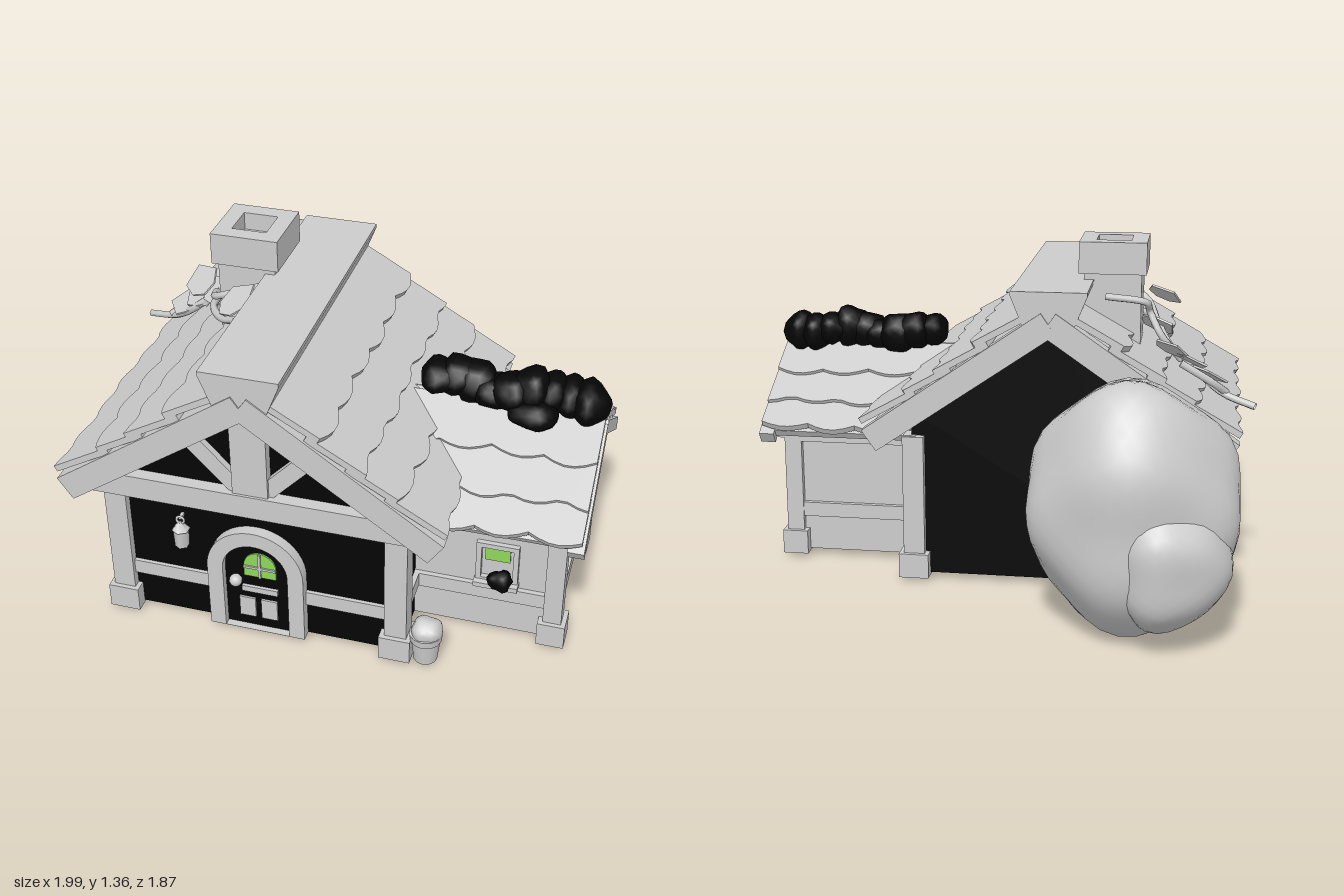
import * as THREE from 'three';
import { mergeVertices, toCreasedNormals } from 'three/addons/utils/BufferGeometryUtils.js';

// open shells (walls without a floor) need both sides
const mat = (name, color) => Object.assign(new THREE.MeshStandardMaterial({ color, side: THREE.DoubleSide }), { name });

export function createModel() {
  const grey = mat('pale stone', 0xcccccc);
  const black = mat('dark plaster', 0x050505);
  const green = mat('green glass', 0x8fd65a);
  const model = new THREE.Group();

  const add = (parent, name, geo, m, x = 0, y = 0, z = 0) => {
    const mesh = new THREE.Mesh(geo, m);
    mesh.name = name;
    mesh.position.set(x, y, z);
    parent.add(mesh);
    return mesh;
  };
  const box = (parent, name, m, w, h, d, x, y, z) => add(parent, name, new THREE.BoxGeometry(w, h, d), m, x, y, z);
  const poly = (pts) => new THREE.Shape(pts.map(([x, y]) => new THREE.Vector2(x, y)));
  const extrude = (shape, depth, curveSegments = 10) =>
    new THREE.ExtrudeGeometry(shape, { depth, bevelEnabled: false, curveSegments });
  const group = (parent, name, x, y, z, ry = 0) => {
    const g = new THREE.Group();
    g.name = name;
    g.position.set(x, y, z);
    g.rotation.y = ry;
    parent.add(g);
    return g;
  };

  // lumpy foliage: a rounded-off box swollen by smooth waves
  function blob(parent, name, m, c, r, bump = 0.06, power = 2, detail = 5) {
    const geo = new THREE.IcosahedronGeometry(1, detail);
    geo.deleteAttribute('normal');
    geo.deleteAttribute('uv');
    const p = geo.attributes.position, v = new THREE.Vector3();
    for (let i = 0; i < p.count; i++) {
      v.fromBufferAttribute(p, i).normalize();
      const k = (Math.abs(v.x) ** power + Math.abs(v.y) ** power + Math.abs(v.z) ** power) ** (-1 / power);
      const s = 1 + bump * (Math.sin(5 * v.x + 9 * c[0]) + Math.sin(6 * v.y + 2) * Math.cos(5 * v.z + 7 * c[2])) - bump * 0.5;
      v.multiplyScalar(k * s);
      p.setXYZ(i, v.x * r[0], v.y * r[1], v.z * r[2]);
    }
    const smooth = mergeVertices(geo, 1e-4);
    smooth.computeVertexNormals();
    return add(parent, name, smooth, m, ...c);
  }

  // bar between two points of a gable face
  function bar(parent, name, a, b, w, depth, z) {
    const dx = b[0] - a[0], dy = b[1] - a[1];
    const m = box(parent, name, grey, Math.hypot(dx, dy), w, depth, (a[0] + b[0]) / 2, (a[1] + b[1]) / 2, z);
    m.rotation.z = Math.atan2(dy, dx);
  }

  // drop the triangles lying in the floor plane
  function openBottom(geo, floorY) {
    const p = geo.attributes.position, keep = [];
    for (let i = 0; i < p.count; i += 3)
      if (Math.max(p.getY(i), p.getY(i + 1), p.getY(i + 2)) > floorY + 1e-4) keep.push(i, i + 1, i + 2);
    geo.clearGroups();
    geo.setIndex(keep);
    return geo;
  }

  // one roof slope: ridge along x, falling towards +z, with scalloped shingle courses
  function roofSide(parent, o, ry) {
    const g = group(parent, 'roofSlope', 0, o.ridge, 0, ry);
    const a = Math.atan(o.slope), len = o.roofHalf * 2;
    const deckLen = (o.rows.at(-1) - 0.01) / Math.cos(a);
    const deck = add(g, 'roofDeck', new THREE.BoxGeometry(len - 0.02, 0.03, deckLen), grey);
    deck.geometry.translate(0, -0.02, deckLen / 2);
    deck.rotation.x = a;
    o.rows.forEach((d, i) => {
      const top = i ? o.rows[i - 1] - 0.05 : 0;
      const L = (d - top) / Math.cos(a);
      const n = Math.round(len / 0.2), pts = [[-o.roofHalf, 0]];
      for (let j = 0; j <= n * 5; j++) {
        const u = j / 5 + (i % 2) * 0.5;
        const s = L - 0.02 + 0.028 * Math.abs(Math.sin(Math.PI * u)) + 0.006 * Math.sin(2.3 * u + i * 2);
        pts.push([-o.roofHalf + (len * j) / (n * 5), -s]);
      }
      pts.push([o.roofHalf, 0]);
      const m = add(g, 'shingleCourse', extrude(poly(pts), 0.025), grey, 0, -o.slope * top - 0.005, top);
      m.rotation.x = a - 0.09 - Math.PI / 2;
    });
  }

  // timber-framed gabled block: ridge along z, decorated gable at +z
  function house(name, o, x, z, ry) {
    const g = group(model, name, x, 0, z, ry);
    const W = o.halfW, H = o.halfL, under = o.ridge - 0.065;
    const wall = extrude(poly([[-W, 0.03], [W, 0.03], [W, under - o.slope * W], [0, under], [-W, under - o.slope * W]]), H * 2);
    add(g, 'walls', openBottom(wall, 0.03), o.wall, 0, 0, -H);
    for (const s of [1, -1]) {
      roofSide(g, o, (s * Math.PI) / 2);
      const e = o.rows.at(-1) - 0.005, drop = o.board * 0.62;
      for (const zz of [o.roofHalf - 0.02, -o.roofHalf + 0.02])
        bar(g, 'bargeBoard', [0, o.ridge - drop], [s * e, o.ridge - drop - o.slope * e], o.board, 0.06, zz);
      for (const end of o.postEnds) {
        const px = s * (W - 0.01), pz = end * (H - 0.01);
        box(g, 'cornerPost', grey, o.post, o.tie[0], o.post, px, o.tie[0] / 2 + 0.03, pz);
        box(g, 'postFoot', grey, o.post + 0.035, 0.1, o.post + 0.035, px, 0.07, pz);
      }
      box(g, 'sideRail', grey, 0.03, 0.06, H * 2, s * (W + 0.005), 0.21, 0);
      box(g, 'eavePlate', grey, 0.05, 0.045, H * 2 + 0.04, s * (W + 0.005), o.tie[0] + 0.01, 0);
      bar(g, 'gableBrace', [s * o.brace[0], o.brace[1]], [s * o.brace[2], o.brace[3]], o.brace[4], 0.03, H + 0.012);
    }
    const mid = (o.tie[0] + o.tie[1]) / 2;
    box(g, 'tieBeam', grey, W * 2 + o.tieOver, o.tie[1] - o.tie[0], 0.08, 0, mid, H + 0.01);
    box(g, 'kingPost', grey, o.king, under - 0.04 - o.tie[1], 0.05, 0, (under - 0.04 + o.tie[1]) / 2, H + 0.015);
    return g;
  }

  const main = house('mainHouse', {
    halfW: 0.55, halfL: 0.51, wall: black, ridge: 1.15, slope: 0.69, rows: [0.275, 0.42, 0.56, 0.705], roofHalf: 0.603,
    board: 0.1, post: 0.085, tie: [0.575, 0.67], tieOver: 0.18, king: 0.135, brace: [0.05, 0.68, 0.25, 0.89, 0.065],
    postEnds: [1, -1],
  }, -0.205, 0.32, 0);
  house('sideWing', {
    halfW: 0.3, halfL: 0.3, wall: grey, ridge: 0.85, slope: 0.63, rows: [0.175, 0.315, 0.435], roofHalf: 0.385,
    board: 0.05, post: 0.07, tie: [0.52, 0.565], tieOver: 0.05, king: 0.08, brace: [0.03, 0.57, 0.16, 0.7, 0.035],
    postEnds: [1],
  }, 0.59, 0.305, Math.PI / 2);
  box(model, 'wingGableRail', grey, 0.03, 0.06, 0.6, 0.893, 0.21, 0.305);

  // flared ridge cap
  const cap = poly([[-0.1, 1.08], [0.1, 1.08], [0.146, 1.195], [0.146, 1.21], [-0.146, 1.21], [-0.146, 1.195]]);
  add(main, 'ridgeCap', extrude(cap, 1.215), grey, 0, 0, -0.6075);
  for (const z of [0.583, -0.583]) box(main, 'ridgeCollar', grey, 0.16, 0.06, 0.06, 0, 1.06, z);
  for (const s of [1, -1]) box(main, 'frontRail', grey, 0.36, 0.06, 0.03, s * 0.35, 0.21, 0.51);

  // arched doorway, set through the front wall
  const door = group(main, 'door', 0.003, 0, 0.51);
  const arch = (r, y0, spring) => {
    const s = new THREE.Shape();
    s.moveTo(-r, y0);
    s.lineTo(r, y0);
    s.lineTo(r, spring);
    s.absarc(0, spring, r, 0, Math.PI, false);
    s.closePath();
    return s;
  };
  const surround = arch(0.188, 0.03, 0.31);
  surround.holes.push(arch(0.127, 0.031, 0.31));
  add(door, 'doorSurround', toCreasedNormals(extrude(surround, 0.07, 20), 0.6), grey, 0, 0, -0.025);
  add(door, 'doorLeaf', extrude(arch(0.127, 0.03, 0.31), 0.015), black);
  for (const z of [0.015, -0.008])
    add(door, 'doorGlass', extrude(arch(0.063, 0.275, 0.325), 0.006), green, 0.012, 0, z);
  box(door, 'doorMuntin', grey, 0.01, 0.11, 0.008, 0.012, 0.33, 0.023);
  box(door, 'doorMuntin', grey, 0.126, 0.01, 0.008, 0.012, 0.32, 0.023);
  box(door, 'doorLedge', grey, 0.14, 0.025, 0.02, 0.01, 0.215, 0.018);
  for (const s of [1, -1]) box(door, 'doorPanel', grey, 0.063, 0.09, 0.01, s * 0.043, 0.122, 0.018);
  add(door, 'doorKnob', new THREE.SphereGeometry(0.025, 12, 8), grey, -0.083, 0.25, 0.03);

  // wall lantern
  const lantern = group(main, 'lantern', -0.285, 0, 0.54);
  add(lantern, 'lanternBody', new THREE.CylinderGeometry(0.03, 0.027, 0.08, 6), grey, 0, 0.415, 0);
  add(lantern, 'lanternHood', new THREE.ConeGeometry(0.035, 0.04, 6), grey, 0, 0.47, 0);
  add(lantern, 'lanternHook', new THREE.TorusGeometry(0.015, 0.005, 6, 12), grey, 0, 0.492, 0);
  box(lantern, 'lanternArm', grey, 0.012, 0.012, 0.03, 0, 0.5, -0.015);

  // windows, facing their group's +z
  function windowFrame(name, x, y, z, ry, w, h) {
    const g = group(model, name, x, y, z, ry);
    const frame = poly([[-w, -h], [w, -h], [w, h], [-w, h]]);
    frame.holes.push(poly([[-w * 0.75, -h * 0.78], [-w * 0.75, h * 0.78], [w * 0.75, h * 0.78], [w * 0.75, -h * 0.78]]));
    add(g, 'windowFrame', extrude(frame, 0.025), grey);
    box(g, 'windowSill', grey, w * 2.1, 0.02, 0.05, 0, -h, 0.025);
    return g;
  }
  const wingWin = windowFrame('wingWindow', 0.66, 0.35, 0.6, 0, 0.08, 0.09);
  box(wingWin, 'wingGlass', green, 0.095, 0.055, 0.008, 0, 0.037, 0.012);
  blob(wingWin, 'wingPlant', black, [0.022, -0.052, 0.05], [0.05, 0.042, 0.04], 0.12, 2, 2);
  const sideWin = windowFrame('sideWindow', -0.75, 0.41, 0.34, -Math.PI / 2, 0.15, 0.12);
  box(sideWin, 'sideGlass', black, 0.24, 0.2, 0.008, 0, 0, 0.01);
  for (const x of [-0.04, 0.04]) box(sideWin, 'sideMuntin', grey, 0.016, 0.2, 0.012, x, 0, 0.016);
  box(sideWin, 'sideMuntin', grey, 0.24, 0.016, 0.012, 0, 0.01, 0.016);
  box(sideWin, 'planterBox', grey, 0.44, 0.08, 0.08, 0.04, -0.135, 0.045);
  for (const i of [-1, 0, 1])
    blob(sideWin, 'planterFoliage', black, [0.04 + i * 0.1, -0.07 + 0.012 * i, 0.06], [0.08, 0.04, 0.055], 0.1, 2, 2);

  // chimney with hollow crown
  box(model, 'chimneyShaft', grey, 0.225, 0.46, 0.225, -0.425, 1.06, 0.11);
  const sq = (r) => poly([[-r, -r], [r, -r], [r, r], [-r, r]]);
  const crown = sq(0.132);
  crown.holes.push(sq(0.068));
  add(model, 'chimneyCrown', extrude(crown, 0.125).rotateX(-Math.PI / 2), grey, -0.425, 1.235, 0.11);

  // climbing vine
  const vines = [
    [[-0.99, 0.75, -0.11], [-0.86, 0.79, -0.06], [-0.74, 0.88, 0], [-0.66, 0.95, 0], [-0.6, 1.03, 0.1], [-0.54, 1.1, 0.25], [-0.36, 1.17, 0.25]],
    [[-0.7, 0.9, 0], [-0.62, 1.0, -0.02], [-0.57, 1.09, 0.02], [-0.56, 1.13, -0.03], [-0.4, 1.15, -0.03]],
    [[-0.59, 1.02, 0.1], [-0.57, 1.03, 0.22], [-0.5, 1.04, 0.31], [-0.42, 1.08, 0.37]],
    [[-0.88, 0.79, -0.06], [-0.82, 0.84, -0.1], [-0.7, 0.91, -0.1]],
  ];
  for (const pts of vines) {
    const curve = new THREE.CatmullRomCurve3(pts.map((p) => new THREE.Vector3(...p)));
    add(model, 'vineStem', new THREE.TubeGeometry(curve, 24, 0.015, 6), grey);
  }
  const leaf = extrude(poly([[0, -0.08], [0.05, -0.05], [0.07, 0.02], [0, 0.09], [-0.07, 0.02], [-0.05, -0.05]]), 0.008);
  [[-0.62, 1.12, 0.19, -1.1, 0.5], [-0.43, 1.14, 0.33, -1.1, -0.8], [-0.73, 0.91, -0.05, -1.2, 1], [-0.66, 0.96, -0.09, -1.1, 0.3],
    [-0.8, 0.86, -0.06, -1.2, 1.4], [-0.6, 1.02, 0.08, -1, 0.8]].forEach(([x, y, z, rx, rz]) => {
    add(model, 'vineLeaf', leaf, grey, x, y, z).rotation.set(rx, -0.4, rz);
  });

  // big shrub behind the house
  blob(model, 'shrub', grey, [-0.55, 0.49, -0.575], [0.39, 0.47, 0.325], 0.045, 2.3, 7);
  blob(model, 'shrubLobe', grey, [-0.68, 0.34, -0.7], [0.23, 0.27, 0.24], 0.04, 2, 6);
  blob(model, 'shrubBase', grey, [-0.56, 0.25, -0.52], [0.28, 0.245, 0.24], 0.02, 2.7, 6);

  // foliage along the wing ridge
  for (let i = 0; i < 9; i++)
    blob(model, 'ridgeFoliage', black, [0.35 + i * 0.07, 0.915 + 0.015 * Math.sin(i * 1.3 + 1), 0.295 + 0.02 * Math.sin(i * 1.2 + 3)],
      [0.08, 0.07 + 0.012 * (i % 3), 0.09], 0.07, 2, 2);
  blob(model, 'ridgeFoliage', black, [0.72, 0.87, 0.37], [0.1, 0.06, 0.08], 0.06, 2, 2);

  // potted plant by the front corner
  add(model, 'plantPot', new THREE.CylinderGeometry(0.058, 0.045, 0.115, 12), grey, 0.445, 0.08, 0.83);
  add(model, 'potRim', new THREE.CylinderGeometry(0.063, 0.06, 0.03, 12), grey, 0.445, 0.13, 0.83);
  blob(model, 'potPlant', grey, [0.447, 0.155, 0.83], [0.06, 0.05, 0.06], 0.06, 2, 3);

  return model;
}
